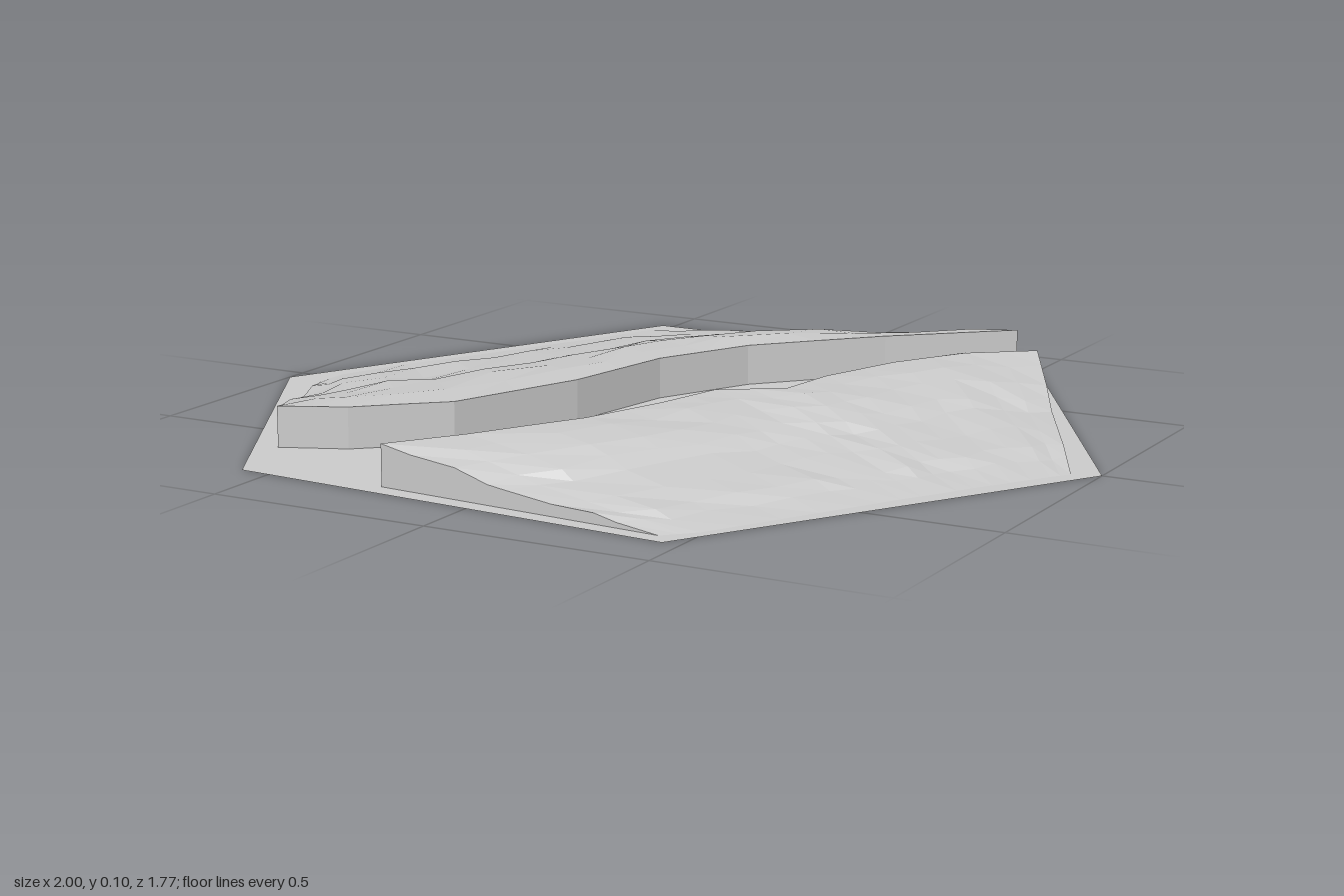
import * as THREE from 'three';

const material = new THREE.MeshStandardMaterial({ color: 0xcccccc, flatShading: true, side: THREE.DoubleSide });

// Small seeded noise in -1..1
function makeNoise(seed) {
  let s = seed;
  return () => ((s = (s * 16807) % 2147483647) / 2147483647) * 2 - 1;
}

// Faceted sheet through a grid of points; flip reverses the facing
function sheet(name, grid, flip = false) {
  const n = grid[0].length;
  const index = [];
  for (let i = 0; i < grid.length - 1; i++) {
    for (let j = 0; j < n - 1; j++) {
      const a = i * n + j, b = a + n, c = b + 1, d = a + 1;
      index.push(...(flip ? [a, d, c, a, c, b] : [a, b, c, a, c, d]));
    }
  }
  const shared = new THREE.BufferGeometry().setFromPoints(grid.flat());
  shared.setIndex(index);
  const geometry = shared.toNonIndexed();
  geometry.computeVertexNormals();
  const mesh = new THREE.Mesh(geometry, material);
  mesh.name = name;
  return mesh;
}

// Points on a polyline, each segment split into equal pieces
function subdivide(points, pieces) {
  const out = [];
  for (let i = 0; i < points.length - 1; i++) {
    for (let k = 0; k < pieces; k++) {
      const t = k / pieces;
      out.push(points[i].map((v, a) => v + (points[i + 1][a] - v) * t));
    }
  }
  out.push(points[points.length - 1]);
  return out;
}

// Terraced cross-section from the cliff edge to the outer rim
const across = [0, 0.14, 0.28, 0.4, 0.48, 0.64, 0.79, 0.86, 1];
const middleHeight = [0.092, 0.092, 0.084, 0.07, 0.052, 0.038, 0.024, 0.013, 0];
const endHeight = [0.09, 0.078, 0.062, 0.045, 0.036, 0.026, 0.019, 0.01, 0];

const onGround = (p) => new THREE.Vector3(p.x, 0, p.z);

// Bank: steep cliff on the river side, terraced slope outward, cut ends
function bank(name, inner, outer, flip, seed) {
  const noise = makeNoise(seed);
  const edge = subdivide(inner, 2), rim = subdivide(outer, 2);
  const last = edge.length - 1;
  const columns = edge.map(([x, z], i) => {
    const blend = Math.min(1, Math.min(i, last - i) / 3);
    return across.map((t, j) => {
      const inside = j > 0 && j < across.length - 1;
      const s = t + (inside ? noise() * 0.028 : 0);
      const y = endHeight[j] + (middleHeight[j] - endHeight[j]) * blend + (inside ? noise() * 0.004 : 0);
      return new THREE.Vector3(x + (rim[i][0] - x) * s, y, z + (rim[i][1] - z) * s);
    });
  });
  const group = new THREE.Group();
  group.name = name;
  group.add(sheet('terracedSlope', columns, flip));
  group.add(sheet('riverCliff', columns.map((c) => [onGround(c[0]), c[0]]), flip));
  group.add(sheet('frontEndWall', columns[0].map((p) => [onGround(p), p]), !flip));
  group.add(sheet('backEndWall', columns[last].map((p) => [onGround(p), p]), flip));
  return group;
}

export function createModel() {
  const model = new THREE.Group();
  model.name = 'riverTile';

  // Flat hexagonal ground
  const hexagon = [[-1, 0.05], [-0.53, -0.89], [0.48, -0.89], [1, 0], [0.46, 0.88], [-0.57, 0.815]];
  const ground = new THREE.ShapeGeometry(new THREE.Shape(hexagon.map(([x, z]) => new THREE.Vector2(x, -z))));
  ground.rotateX(-Math.PI / 2);
  const floor = new THREE.Mesh(ground, material);
  floor.name = 'ground';
  model.add(floor);

  // Bank on the -x side
  model.add(bank('westBank',
    [[-0.62, 0.62], [-0.48, 0.56], [-0.31, 0.41], [-0.19, 0.1], [-0.14, -0.18], [-0.03, -0.4], [0.2, -0.65], [0.44, -0.87]],
    [[-0.91, 0.05], [-0.91, -0.03], [-0.84, -0.2], [-0.75, -0.37], [-0.67, -0.53], [-0.59, -0.69], [-0.53, -0.83], [-0.38, -0.85]],
    false, 71));

  // Bank on the +x side
  const eastEdge = [[-0.24, 0.79], [-0.13, 0.64], [0.01, 0.4], [0.08, 0.2], [0.12, 0.04],
    [0.25, -0.05], [0.27, -0.2], [0.34, -0.4], [0.44, -0.57], [0.57, -0.68]];
  model.add(bank('eastBank', eastEdge,
    [[0.43, 0.84], [0.49, 0.78], [0.58, 0.62], [0.67, 0.46], [0.72, 0.37],
      [0.77, 0.29], [0.81, 0.22], [0.86, 0.14], [0.91, 0.06], [0.94, 0.02]],
    true, 1234));

  // Slope down to the river inside the notch of the east cliff
  const foot = [[0.12, 0.04], [0.11, -0.1], [0.16, -0.24], [0.26, -0.45], [0.44, -0.57]];
  const ramp = eastEdge.slice(4, 9).map(([x, z], i) => [
    new THREE.Vector3(foot[i][0], 0.001, foot[i][1]),
    new THREE.Vector3((x + foot[i][0]) / 2, 0.038, (z + foot[i][1]) / 2),
    new THREE.Vector3(x, 0.092, z),
  ]);
  model.add(sheet('notchRamp', ramp, true));

  return model;
}
